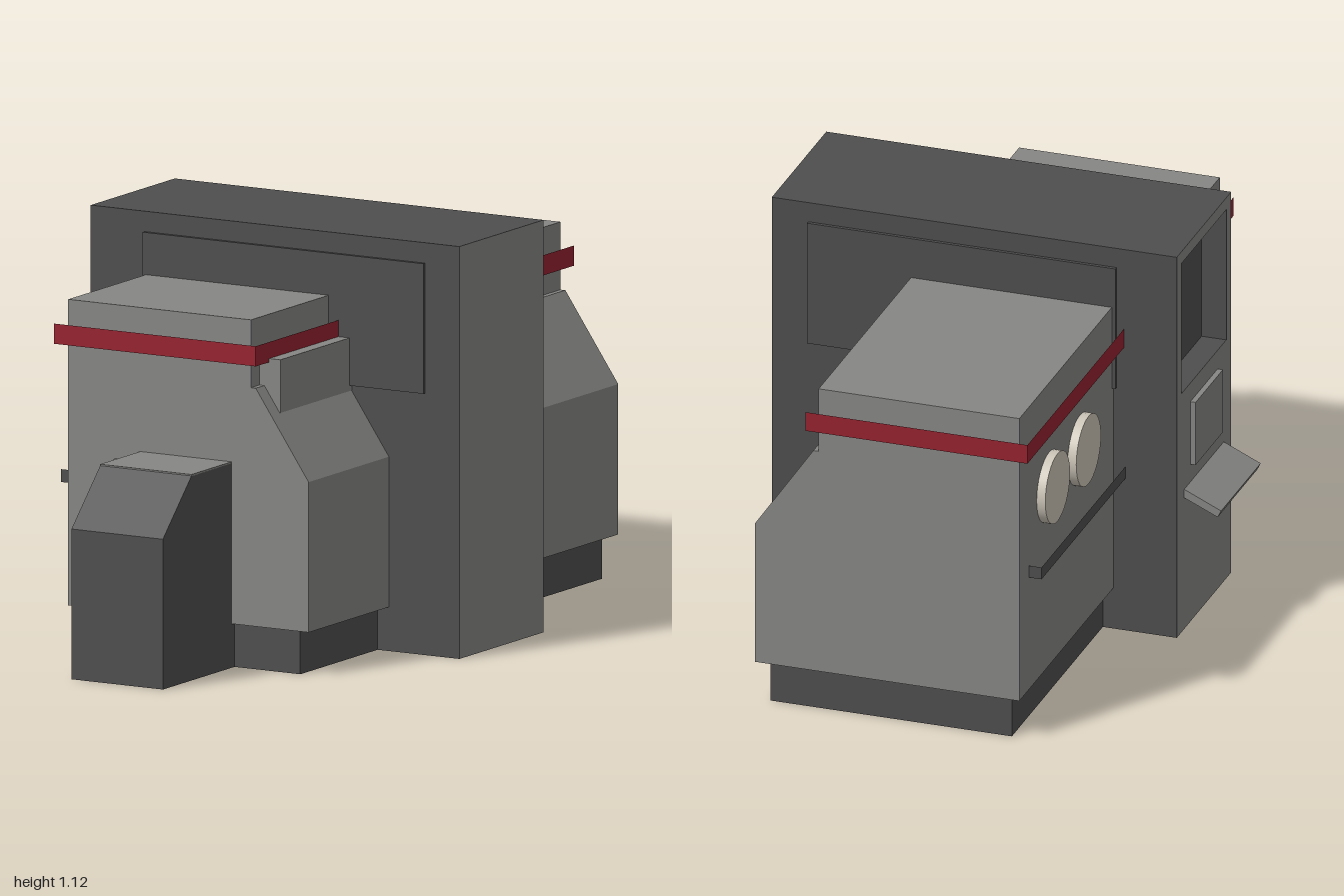
import * as THREE from 'three';

const paint = (name, color) => {
  const m = new THREE.MeshStandardMaterial({ color });
  m.name = name;
  return m;
};

export function createModel() {
  const group = new THREE.Group();
  const light = paint('light grey', 0x868684);
  const dark = paint('dark grey', 0x4e4e4e);
  const red = paint('red', 0x96222f);
  const ivory = paint('ivory', 0xccc5b8);

  const add = (name, geometry, material) => {
    const mesh = new THREE.Mesh(geometry, material);
    mesh.name = name;
    group.add(mesh);
    return mesh;
  };
  // Box given by its limits on each axis
  const span = (x0, x1, y0, y1, z0, z1) =>
    new THREE.BoxGeometry(x1 - x0, y1 - y0, z1 - z0)
      .translate((x0 + x1) / 2, (y0 + y1) / 2, (z0 + z1) / 2);
  // Same box without its top and bottom
  const walls = (...limits) => {
    const g = span(...limits);
    const index = Array.from(g.index.array);
    g.setIndex([...index.slice(0, 12), ...index.slice(24)]);
    g.clearGroups();
    return g;
  };
  const outline = (points) => new THREE.Shape(points.map(([a, b]) => new THREE.Vector2(a, b)));
  const extrude = (shape, depth) =>
    new THREE.ExtrudeGeometry(shape, { depth, bevelEnabled: false });
  // Side profile in (z, y), extruded from x1 down to x0
  const sideExtrude = (shape, x0, x1) =>
    extrude(shape, x1 - x0).rotateY(-Math.PI / 2).translate(x1, 0, 0);

  // Main housing with one sloped shoulder, on a plinth
  const body = outline([[-0.345, 0.12], [0.405, 0.12], [0.405, 0.53], [0.24, 0.77],
    [0.225, 0.77], [0.225, 0.955], [-0.345, 0.955]]);
  add('housing', extrude(body, 1.62).translate(0, 0, -0.98), light);
  add('plinth', span(-0.315, 0.37, 0, 0.125, -0.955, 0.625), dark);
  add('shoulderLedge', span(0.2, 0.29, 0.7, 0.845, -0.72, 0.595), light);
  add('redBand', walls(-0.375, 0.255, 0.835, 0.89, -1, 0.665), red);
  add('sideRail', walls(-0.38, -0.34, 0.45, 0.485, -0.9, 0.62), dark);

  // Round side dials
  for (const z of [-0.74, -0.49, 0.4]) {
    add('dial', new THREE.CylinderGeometry(0.1, 0.1, 0.025, 32)
      .rotateZ(Math.PI / 2).translate(-0.357, 0.65, z), ivory);
  }

  // Tall cross frame: light end, dark faces
  add('crossFrame', span(-0.455, 0.625, 0, 1.125, -0.22, 0.22),
    [light, dark, dark, dark, dark, dark]);
  const end = outline([[-0.22, 0], [0.22, 0], [0.22, 1.125], [-0.22, 1.125]]);
  end.holes.push(outline([[-0.18, 0.705], [-0.18, 1.09], [0.18, 1.09], [0.18, 0.705]]));
  add('screenEnd', sideExtrude(end, -0.525, -0.455), [light, dark]);
  for (const s of [-1, 1]) {
    add('framePanel', span(-0.355, 0.52, 0.715, 1.07, -0.005, 0.005)
      .translate(0, 0, s * 0.228), dark);
  }

  // Control panel and sloping shelf
  add('controlPanel', span(-0.54, -0.52, 0.465, 0.65, -0.11, 0.11), light);
  add('shelf', extrude(outline([[-0.62, 0.345], [-0.52, 0.39], [-0.52, 0.415],
    [-0.63, 0.365]]), 0.32).translate(0, 0, -0.16), light);

  // Nose cabinet with a light top plate, and the narrow box beside it
  const nose = outline([[0.6, 0], [1, 0], [1, 0.41], [0.85, 0.558], [0.6, 0.558]]);
  add('noseCabinet', sideExtrude(nose, -0.12, 0.165), dark);
  add('noseTop', span(-0.12, 0.165, 0.557, 0.562, 0.6, 0.85), light);
  const box = outline([[0.6, 0], [0.72, 0], [0.72, 0.49], [0.64, 0.535], [0.6, 0.535]]);
  add('sideBox', sideExtrude(box, -0.2, -0.115), light);

  return group;
}
